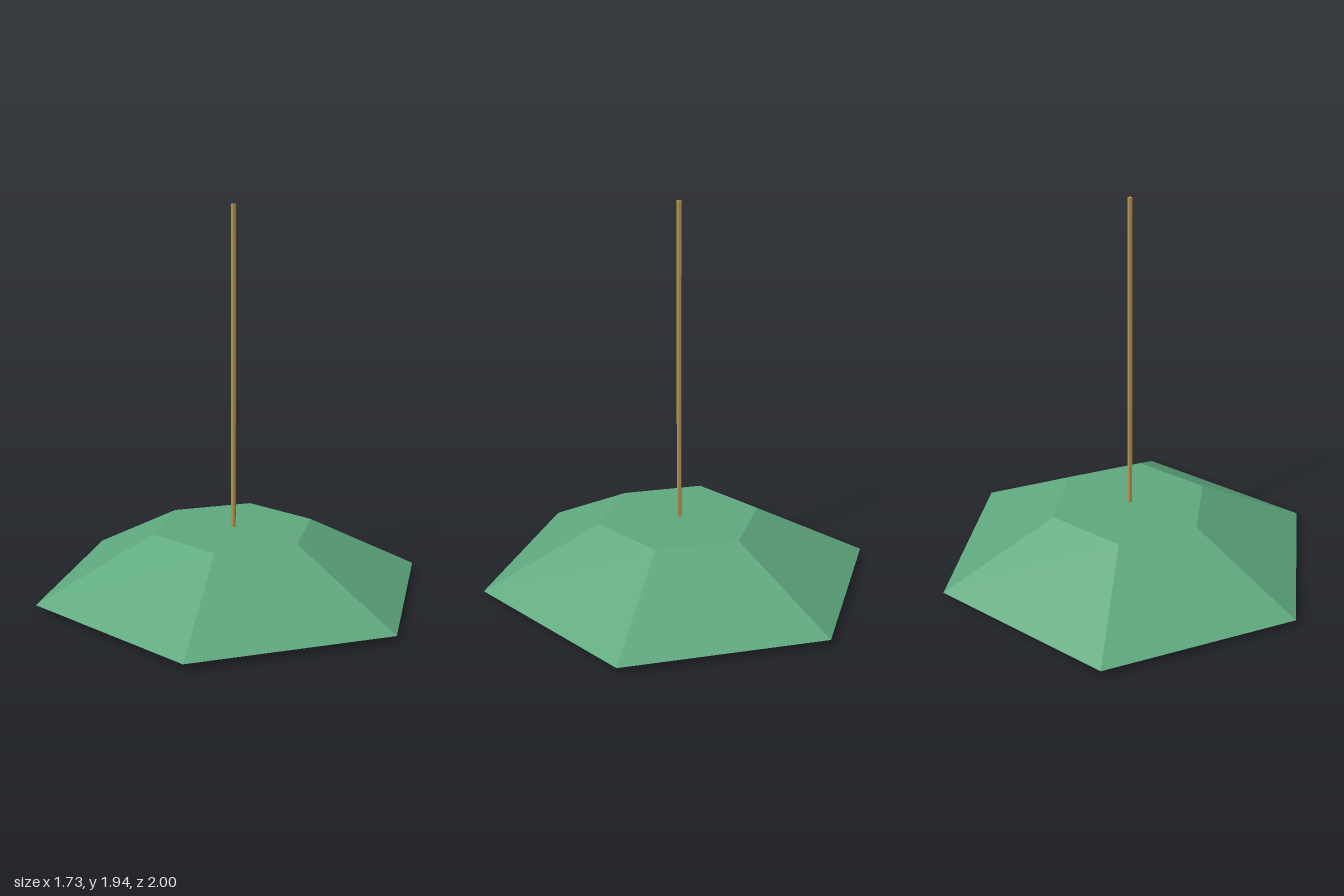
import * as THREE from 'three';

const flat = (name, color) => {
  const m = new THREE.MeshStandardMaterial({ color, flatShading: true });
  m.name = name;
  return m;
};

export function createModel() {
  const group = new THREE.Group();
  group.name = 'pendantLamp';

  // Closed, faceted cylinder standing between two heights
  const addPrism = (name, rTop, rBottom, y0, y1, sides, material) => {
    const mesh = new THREE.Mesh(new THREE.CylinderGeometry(rTop, rBottom, y1 - y0, sides), material);
    mesh.name = name;
    mesh.position.y = (y0 + y1) / 2;
    group.add(mesh);
  };

  // Hexagonal shade with corners at front and back
  addPrism('shade', 0.415, 1, 0.035, 0.335, 6, flat('green', 0x5fa97f));
  // Twelve-sided diffuser under the shade
  addPrism('diffuser', 0.3, 0.3, 0, 0.045, 12, flat('cream', 0xe6d9b0));
  // Thin hanging cord
  addPrism('cord', 0.0125, 0.0125, 0.325, 1.935, 6, flat('brass', 0xb8954f));

  return group;
}
